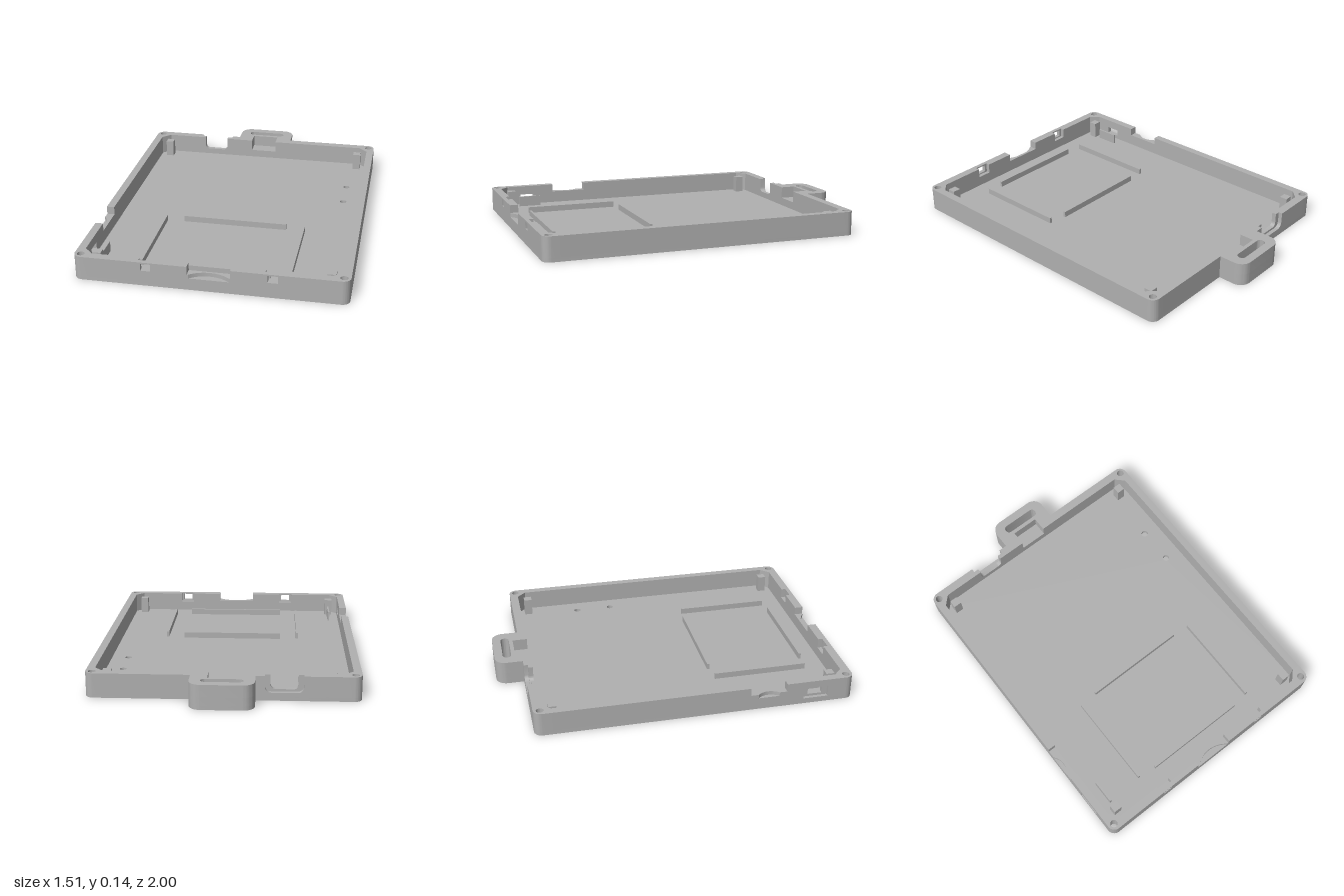
import * as THREE from 'three';
import { toCreasedNormals } from 'three/addons/utils/BufferGeometryUtils.js';

const H = 0.14, FLOOR = 0.022;        // total height, floor thickness
const X = 0.755, XI = 0.71;           // outer and inner half width
const CZ = 0.08, ZO = 0.92, ZI = 0.87; // body centre and half lengths in z
const SCREW_X = 0.718, SCREW_Z = 0.882;

export function createModel() {
  const group = new THREE.Group();
  const grey = new THREE.MeshStandardMaterial({ color: 0xb0b0b0 });
  grey.name = 'grey plastic';

  const add = (name, geo) => {
    const mesh = new THREE.Mesh(geo, grey);
    mesh.name = name;
    group.add(mesh);
    return mesh;
  };
  const extrude = (shape, depth) =>
    toCreasedNormals(new THREE.ExtrudeGeometry(shape, { depth, bevelEnabled: false, curveSegments: 12 }), 0.5);

  // Plan outline (x, z) raised from y0 to y1
  const slab = (name, shape, y0, y1) =>
    add(name, extrude(shape, y1 - y0).rotateX(Math.PI / 2).translate(0, y1, 0));
  // Elevation (x, y) spanning z0..z1
  const wallAcross = (name, shape, z0, z1) => add(name, extrude(shape, z1 - z0).translate(0, 0, z0));
  // Elevation (z, y) spanning x0..x1
  const wallAlong = (name, shape, x0, x1) =>
    add(name, extrude(shape, x1 - x0).rotateY(-Math.PI / 2).translate(x1, 0, 0));
  const box = (name, x0, x1, y0, y1, z0, z1) =>
    add(name, new THREE.BoxGeometry(x1 - x0, y1 - y0, z1 - z0)
      .translate((x0 + x1) / 2, (y0 + y1) / 2, (z0 + z1) / 2));

  const arc = (cx, cy, r, a0, a1, n = 12) => Array.from({ length: n + 1 }, (_, i) => {
    const a = a0 + (a1 - a0) * i / n;
    return new THREE.Vector2(cx + r * Math.cos(a), cy + r * Math.sin(a));
  });
  const v = (x, y) => new THREE.Vector2(x, y);
  const Q = Math.PI / 2;
  const circle = (x, z, r) => new THREE.Path(arc(x, z, r, 0, 4 * Q, 24).slice(0, -1));
  const roundRect = (x0, x1, z0, z1, r) => new THREE.Path([
    ...arc(x1 - r, z1 - r, r, 0, Q), ...arc(x0 + r, z1 - r, r, Q, 2 * Q),
    ...arc(x0 + r, z0 + r, r, 2 * Q, 3 * Q), ...arc(x1 - r, z0 + r, r, 3 * Q, 4 * Q)]);
  const rect = (u0, u1, y0, y1) => new THREE.Path([v(u0, y0), v(u1, y0), v(u1, y1), v(u0, y1)]);

  // Wall elevation with notches [u0, u1, bottom, radius] cut from its top, left to right
  const elevation = (u0, u1, notches = [], holes = []) => {
    const pts = [v(u1, FLOOR), v(u0, FLOOR), v(u0, H)];
    for (const [a, b, y, r = 0] of notches) {
      pts.push(v(a, H));
      if (r) pts.push(...arc(a + r, y + r, r, 2 * Q, 3 * Q, 8), ...arc(b - r, y + r, r, 3 * Q, 4 * Q, 8));
      else pts.push(v(a, y), v(b, y));
      pts.push(v(b, H));
    }
    pts.push(v(u1, H));
    const s = new THREE.Shape(pts);
    s.holes.push(...holes);
    return s;
  };

  // Hanging tab outline and slot
  const T = 0.177, TR = 0.065, zb = CZ - ZO;
  const tabArc = [...arc(-T + TR, -1 + TR, TR, 2 * Q, 3 * Q), ...arc(T - TR, -1 + TR, TR, 3 * Q, 4 * Q)];
  const slot = () => roundRect(-0.115, 0.115, -0.95, -0.9, 0.024);

  // Floor in two layers; the lower one leaves a shallow label recess underneath
  const CR = 0.045;
  const footprint = () => {
    const s = new THREE.Shape([
      v(-T, zb), ...tabArc, v(T, zb),
      ...arc(X - CR, zb + CR, CR, -Q, 0), ...arc(X - CR, 1 - CR, CR, 0, Q),
      ...arc(-X + CR, 1 - CR, CR, Q, 2 * Q), ...arc(-X + CR, zb + CR, CR, 2 * Q, 3 * Q)]);
    s.holes.push(slot(), circle(0.61, -0.405, 0.02), circle(0.61, -0.185, 0.02));
    for (const sx of [-1, 1]) for (const sz of [-1, 1])
      s.holes.push(circle(sx * SCREW_X, CZ + sz * SCREW_Z, 0.021));
    return s;
  };
  const lower = footprint();
  lower.holes.push(roundRect(-0.655, 0.655, 0.32, 0.9, 0.03));
  slab('floorUnderside', lower, 0, 0.006);
  slab('floor', footprint(), 0.006, FLOOR);

  // Chamfered corner blocks with screw holes, and standoff posts
  const CX = 0.66, CE = 0.82;
  for (const sx of [-1, 1]) for (const sz of [-1, 1]) {
    const s = new THREE.Shape([
      v(CX, ZO), ...arc(X - CR, ZO - CR, CR, Q, 0), v(X, CE), v(XI, CE), v(CX, ZI),
    ].map(p => v(sx * p.x, CZ + sz * p.y)));
    s.holes.push(circle(sx * SCREW_X, CZ + sz * SCREW_Z, 0.021));
    slab('cornerBlock', s, FLOOR, H);
    const px = sx * 0.648, pz = CZ + sz * 0.808;
    box('standoffPost', px - 0.024, px + 0.024, FLOOR, 0.125, pz - 0.024, pz + 0.024);
  }

  // Front wall: latch holes, inner pockets and a finger notch
  const fi = CZ + ZI, notch = [-0.118, 0.118, 0.07];
  wallAcross('frontWallOuter', elevation(-CX, CX, [notch],
    [-0.347, 0.347].map(x => rect(x - 0.028, x + 0.028, 0.09, 0.132))), 0.975, 1);
  wallAcross('frontWallInner', elevation(-CX, CX,
    [[-0.39, -0.304, 0.082], notch, [0.304, 0.39, 0.082]]), fi, 0.975);

  // Curved finger scoops standing in the front and right notches
  const scoop = (half, depth, thick, w) => {
    const R = (half * half + depth * depth) / (2 * depth), a = Math.asin(half / R);
    return [v(-w, -thick), v(w, -thick), v(w, 0), ...arc(0, R - depth, R, -Q + a, -Q - a, 16), v(-w, 0)];
  };
  slab('frontScoop', new THREE.Shape(scoop(0.11, 0.04, 1 - fi, 0.118).map(p => v(p.x, 1 + p.y))), 0.07, 0.093);
  slab('rightScoop', new THREE.Shape(scoop(0.062, 0.025, X - XI, 0.107).map(p => v(-X - p.y, 0.492 + p.x))), 0.07, 0.093);

  // Back wall: stepped connector opening and clip recess reaching into the tab
  const RY = 0.07, clip = [-0.083, 0.081, RY], zm = -0.816;
  wallAcross('backWallOuter', elevation(-CX, CX, [[-0.44, -0.227, 0.045, 0.035], clip]), zb, zm);
  wallAcross('backWallInner', elevation(-CX, CX, [[-0.41, -0.258, 0.058, 0.025], clip]), zm, CZ - ZI);

  const tab = inner => {
    const s = new THREE.Shape([v(-T, zb), ...tabArc, v(T, zb), ...inner]);
    s.holes.push(slot());
    return s;
  };
  slab('hangingTabLower', tab([]), FLOOR, RY);
  slab('hangingTabUpper', tab([v(0.081, zb), v(0.081, -0.877), v(-0.083, -0.877), v(-0.083, zb)]), RY, H);

  // Side walls; the right one has a finger notch and a stepped switch window
  const z0 = CZ - CE, z1 = CZ + CE, sideNotch = [0.385, 0.599, 0.07];
  wallAlong('leftWall', elevation(z0, z1), XI, X);
  wallAlong('rightWallOuter', elevation(z0, z1, [sideNotch], [rect(0.7, 0.845, 0.032, 0.1)]), -X, -0.735);
  wallAlong('rightWallInner', elevation(z0, z1, [sideNotch], [rect(0.73, 0.815, 0.046, 0.086)]), -0.735, -XI);
  box('switchRib', -0.65, -0.639, FLOOR, 0.085, 0.7, 0.838);

  // Low ribs framing the battery bay
  const RIB = 0.058;
  for (const z of [0.255, 0.835]) box('bayRib', -0.31, 0.31, FLOOR, RIB, z - 0.007, z + 0.007);
  for (const x of [-0.42, 0.417]) box('bayRib', x - 0.007, x + 0.007, FLOOR, RIB, 0.265, 0.825);

  return group;
}
